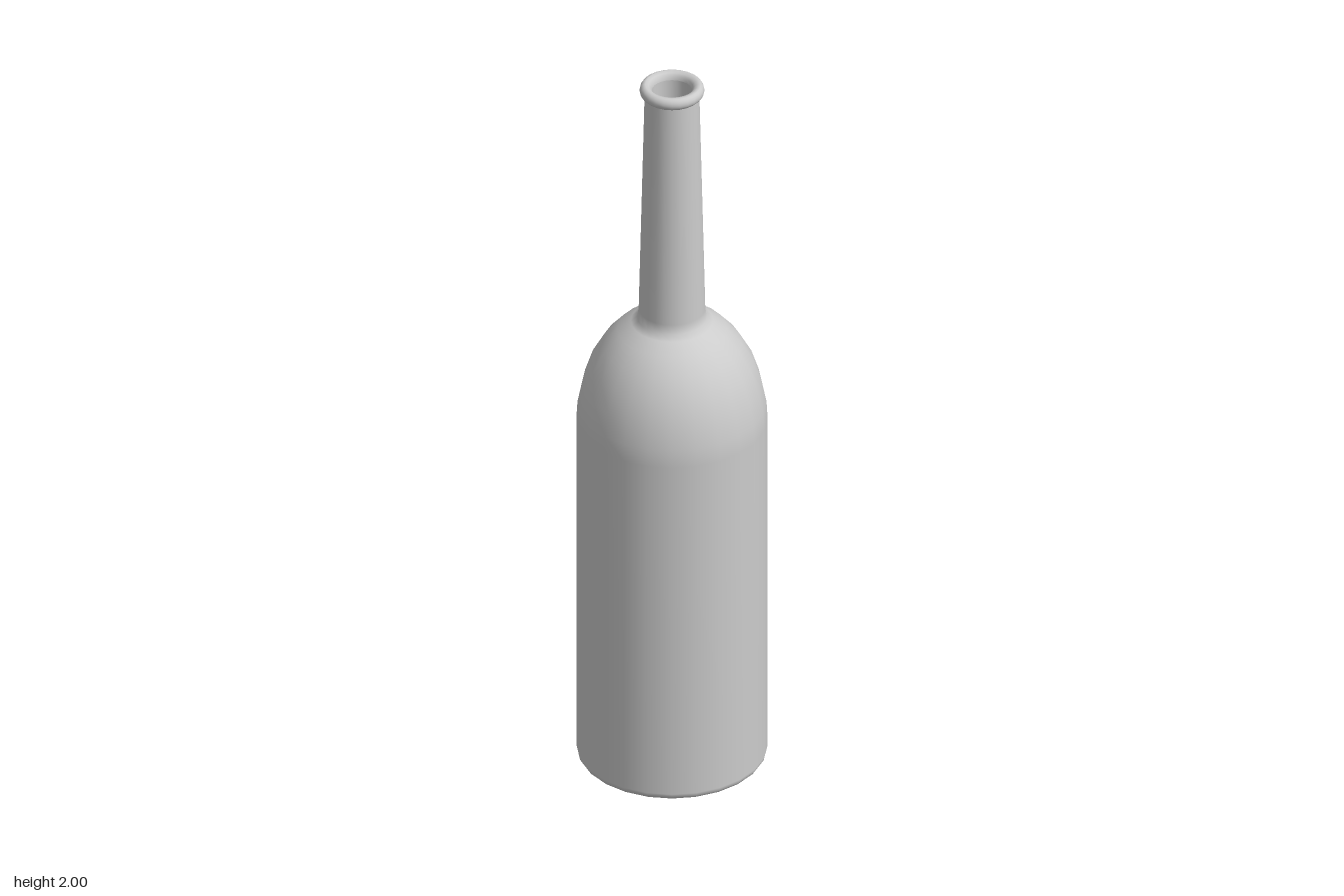
import * as THREE from 'three';

const SIDES = 24;
const material = new THREE.MeshStandardMaterial({ color: 0xcccccc });

// Revolve a list of [radius, height] pairs around the y axis
function revolve(name, profile) {
  const points = profile.map(([r, y]) => new THREE.Vector2(r, y));
  const mesh = new THREE.Mesh(new THREE.LatheGeometry(points, SIDES), material);
  mesh.name = name;
  return mesh;
}

// Elliptical arc as [radius, height] pairs, angles in degrees
function arc(cr, cy, rr, ry, from, to, steps) {
  return Array.from({ length: steps + 1 }, (_, i) => {
    const a = THREE.MathUtils.degToRad(from + (to - from) * i / steps);
    return [cr + rr * Math.cos(a), cy + ry * Math.sin(a)];
  });
}

export function createModel() {
  const bottle = new THREE.Group();
  bottle.name = 'bottle';

  // Hollow underside, rising to a shallow dome
  bottle.add(revolve('basePunt', arc(0, 0.005, 0.18, 0.1, 90, 0, 8)));

  // Rounded foot, straight wall, domed shoulder and tapering neck
  bottle.add(revolve('bodyAndNeck', [
    [0.18, 0.005], [0.19, 0],
    ...arc(0.222, 0.022, 0.022, 0.022, -90, 0, 4),
    [0.244, 1.0],
    [0.241, 1.05], [0.229, 1.11], [0.209, 1.17], [0.178, 1.225],
    [0.14, 1.268], [0.105, 1.292], [0.089, 1.304], [0.085, 1.33],
    [0.07, 1.965],
  ]));

  // Rounded lip around the mouth
  bottle.add(revolve('lip', [
    [0.07, 1.965],
    ...arc(0.068, 1.983, 0.015, 0.017, -60, 90, 7),
    [0.06, 1.997], [0.054, 1.99], [0.052, 1.98],
  ]));

  // Inner wall and floor, seen through the mouth
  bottle.add(revolve('interior', [
    [0.052, 1.98], [0.055, 1.33], [0.08, 1.28], [0.15, 1.23],
    [0.2, 1.13], [0.224, 1.0], [0.224, 0.13],
  ]));
  bottle.add(revolve('innerFloor', [[0.224, 0.13], [0, 0.13]]));

  return bottle;
}
